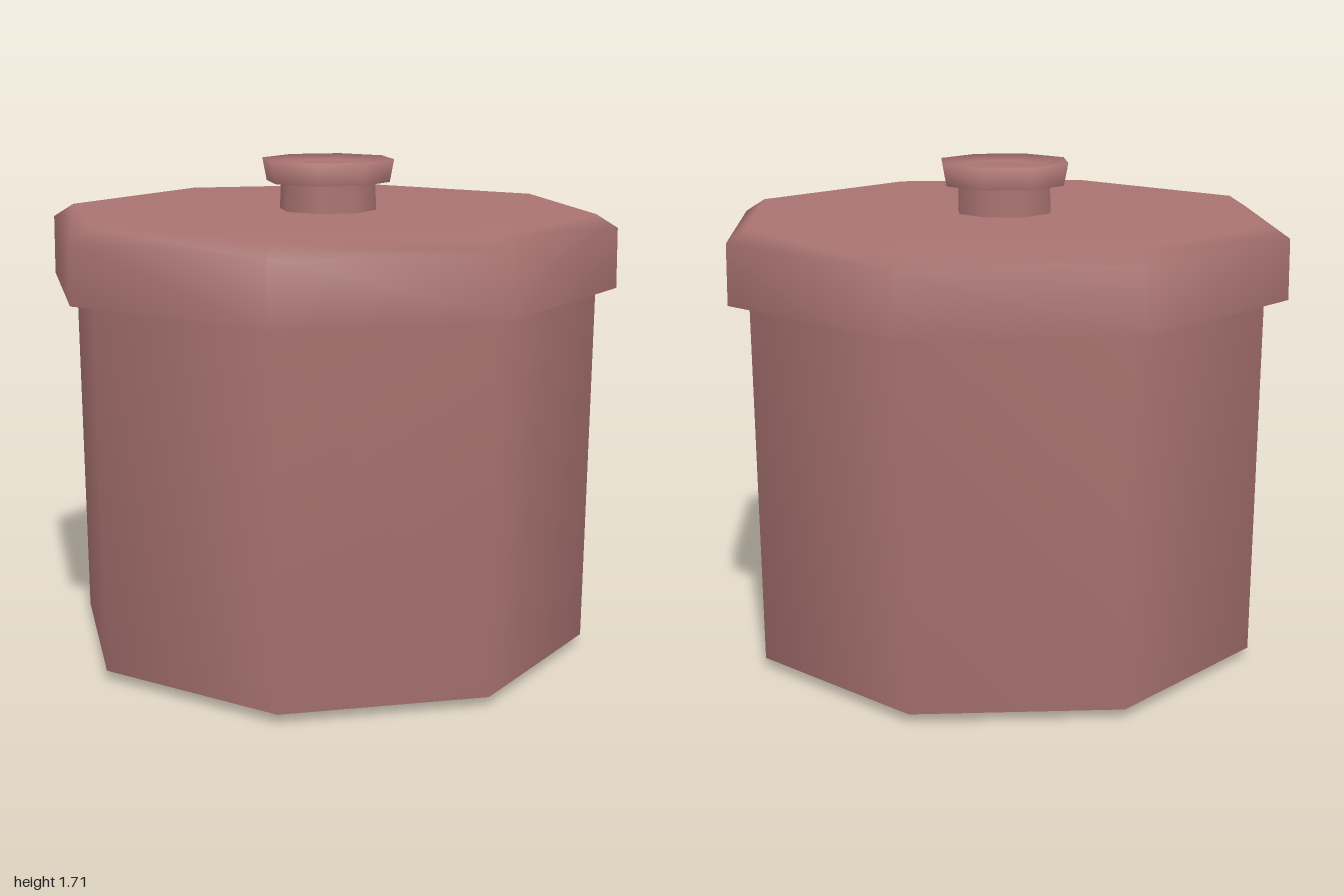
import * as THREE from 'three';

const clay = new THREE.MeshStandardMaterial({ color: 0xa97371 });

// Eight-sided turned part with corners on the x and z axes; profile runs [radius, height] upward
function turned(name, profile) {
  const points = profile.map(([r, y]) => new THREE.Vector2(r, y));
  const mesh = new THREE.Mesh(new THREE.LatheGeometry(points, 8), clay);
  mesh.name = name;
  return mesh;
}

export function createModel() {
  const model = new THREE.Group();
  model.name = 'liddedPot';

  // Pot body: bevelled foot, walls flaring slightly upward
  const body = turned('body', [
    [0, 0], [0.78, 0], [0.911, 0.035], [0.924, 1.29],
  ]);
  body.position.set(0.006, 0, 0.006);

  // Lid: flat underside, straight rim, bevelled top edge
  const lid = new THREE.Group();
  lid.name = 'lid';
  lid.add(
    turned('lidUnderside', [[0, 1.285], [1, 1.285]]),
    turned('lidShell', [[1, 1.285], [0.998, 1.49], [0.925, 1.535], [0, 1.535]]),
  );

  // Knob: narrow neck under a flared cap with a shallow dished top
  const knob = new THREE.Group();
  knob.name = 'knob';
  knob.add(
    turned('knobNeck', [[0.17, 1.53], [0.167, 1.632]]),
    turned('knobUnderside', [[0.16, 1.632], [0.217, 1.632]]),
    turned('knobCap', [[0.217, 1.632], [0.232, 1.71], [0.15, 1.695], [0, 1.695]]),
  );

  model.add(body, lid, knob);
  return model;
}
